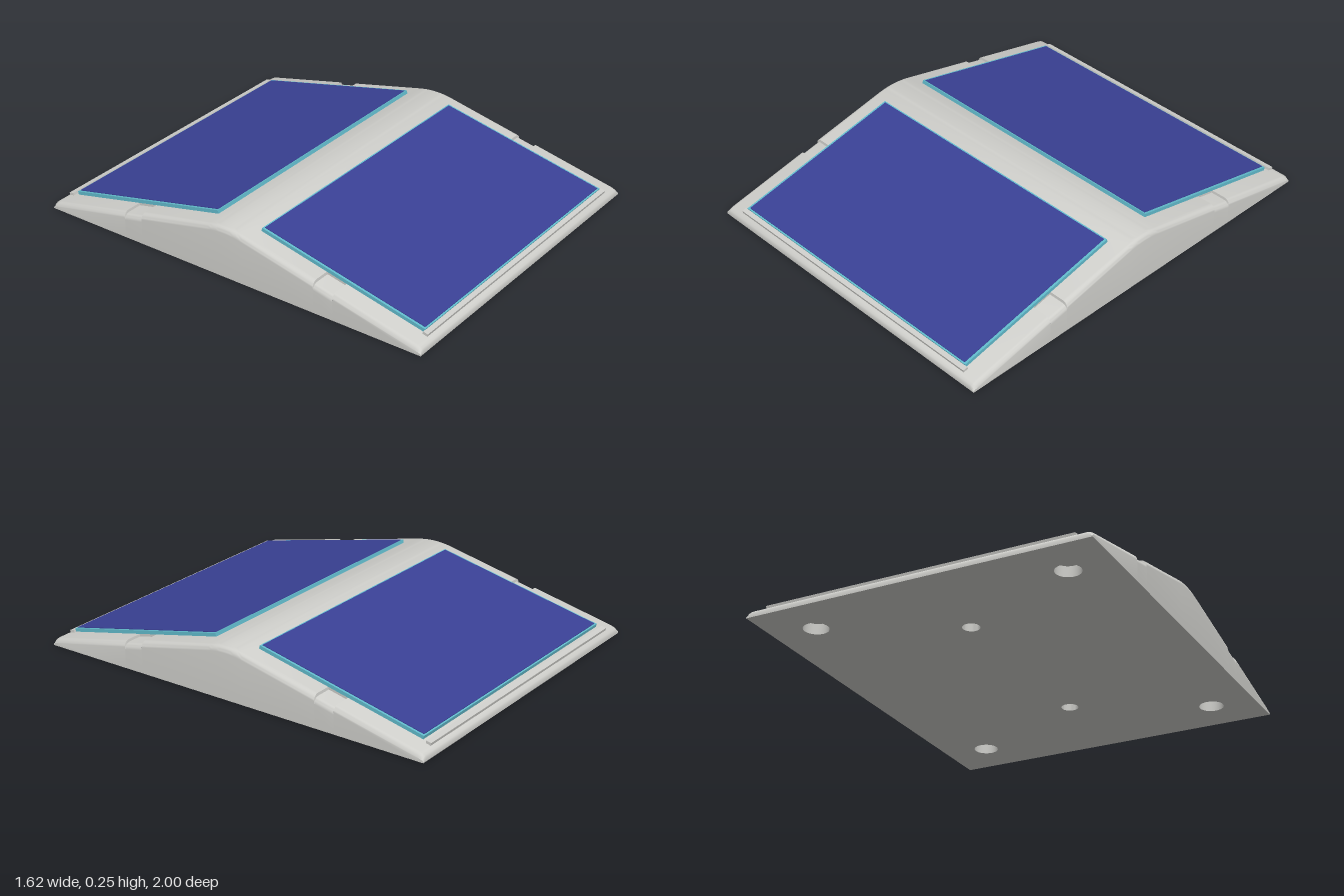
import * as THREE from 'three';
import { toCreasedNormals } from 'three/addons/utils/BufferGeometryUtils.js';

const HALF_W = 0.81, SLOPE = 0.221, RIDGE = 0.253, EDGE = 0.028;
const slopeY = (z) => RIDGE - SLOPE * Math.abs(z);

// Upper outline of the wedge, from the front edge over the ridge to the back edge
function outline() {
  const half = [[1, 0], [1, 0.016], [0.995, 0.026], [0.985, 0.033], [0.97, slopeY(0.97)]];
  // shallow cable notch
  half.push([0.565, slopeY(0.565)], [0.563, slopeY(0.563) - 0.012]);
  half.push([0.467, slopeY(0.467) - 0.012], [0.465, slopeY(0.465)]);
  // rounded ridge
  const h = 0.09;
  for (let i = 6; i >= 0; i--) {
    const z = (h * i) / 6;
    half.push([z, RIDGE - SLOPE * (z * z + h * h) / (2 * h)]);
  }
  const back = half.slice(0, -1).reverse().map(([z, y]) => [-z, y]);
  return half.concat(back);
}

// Wedge skin lofted across x, with rounded upper side edges
function bodyGeometry() {
  const profile = outline();
  const stations = [{ x: HALF_W, drop: Infinity }];
  for (let i = 0; i <= 6; i++) {
    const a = (i / 6) * Math.PI / 2;
    stations.push({ x: HALF_W - EDGE * (1 - Math.cos(a)), drop: EDGE * (1 - Math.sin(a)) });
  }
  const all = stations.map((s) => ({ x: -s.x, drop: s.drop })).concat(stations.reverse());
  const pos = [], idx = [], n = profile.length;
  for (const { x, drop } of all) {
    for (const [z, y] of profile) {
      pos.push(x, drop === Infinity ? 0 : y - Math.min(drop, y * 0.6), z);
    }
  }
  for (let i = 0; i < all.length - 1; i++) {
    for (let j = 0; j < n - 1; j++) {
      const a = i * n + j, b = a + n;
      idx.push(a, b, b + 1, a, b + 1, a + 1);
    }
  }
  const g = new THREE.BufferGeometry();
  g.setAttribute('position', new THREE.Float32BufferAttribute(pos, 3));
  g.setIndex(idx);
  return toCreasedNormals(g, 0.6);
}

export function createModel() {
  const model = new THREE.Group();
  const shell = new THREE.MeshStandardMaterial({ color: 0xcfcfcb, side: THREE.DoubleSide });
  shell.name = 'light grey shell';
  const frame = new THREE.MeshStandardMaterial({ color: 0x62bccd });
  frame.name = 'cyan backing';
  const cell = new THREE.MeshStandardMaterial({ color: 0x3a4196 });
  cell.name = 'blue cell';

  const add = (parent, name, geometry, material, x = 0, y = 0, z = 0) => {
    const mesh = new THREE.Mesh(geometry, material);
    mesh.name = name;
    mesh.position.set(x, y, z);
    parent.add(mesh);
    return mesh;
  };

  add(model, 'wedgeBody', bodyGeometry(), shell);

  // Underside with four foot recesses and two screw holes
  const recesses = [[0, 0.49, 0.04, 0.09], [0, -0.49, 0.04, 0.09]];
  for (const sx of [-1, 1]) for (const sz of [-1, 1]) recesses.push([sx * 0.6, sz * 0.78, 0.058, 0.05]);
  const base = new THREE.Shape();
  base.moveTo(-HALF_W, -1).lineTo(HALF_W, -1).lineTo(HALF_W, 1).lineTo(-HALF_W, 1).closePath();
  for (const [x, z, r, depth] of recesses) {
    base.holes.push(new THREE.Path().absarc(x, z, r, 0, Math.PI * 2, true));
    const cup = new THREE.LatheGeometry(
      [new THREE.Vector2(r, 0), new THREE.Vector2(r, depth), new THREE.Vector2(0, depth)], 32);
    add(model, 'bottomRecess', toCreasedNormals(cup, 0.6), shell, x, 0, z);
  }
  add(model, 'underside', new THREE.ShapeGeometry(base, 16).rotateX(Math.PI / 2), shell);

  // One tilted panel per slope, with its support and lower ledge
  const sides = [
    { name: 'front', turn: 0, panelZ: 0.538, ledgeZ: 0.963 },
    { name: 'back', turn: Math.PI, panelZ: 0.521, ledgeZ: 0.967 },
  ];
  for (const { name, turn, panelZ, ledgeZ } of sides) {
    const side = new THREE.Group();
    side.name = name + 'Slope';
    side.rotation.y = turn;
    model.add(side);

    const panel = new THREE.Group();
    panel.name = name + 'Panel';
    panel.position.set(0, slopeY(panelZ), panelZ);
    panel.rotation.x = Math.atan(SLOPE);
    side.add(panel);
    add(panel, 'panelSupport', new THREE.BoxGeometry(1.42, 0.018, 0.8), shell, 0, -0.008, 0);
    add(panel, 'panelBacking', new THREE.BoxGeometry(1.426, 0.016, 0.847), frame, 0, 0.009, 0);
    add(panel, 'solarCell', new THREE.BoxGeometry(1.404, 0.003, 0.832), cell, 0, 0.0185, 0);

    const ledge = add(side, name + 'Ledge', new THREE.BoxGeometry(1.45, 0.018, 0.024), shell,
      0, slopeY(ledgeZ) + 0.003, ledgeZ);
    ledge.rotation.x = Math.atan(SLOPE);
  }
  return model;
}
